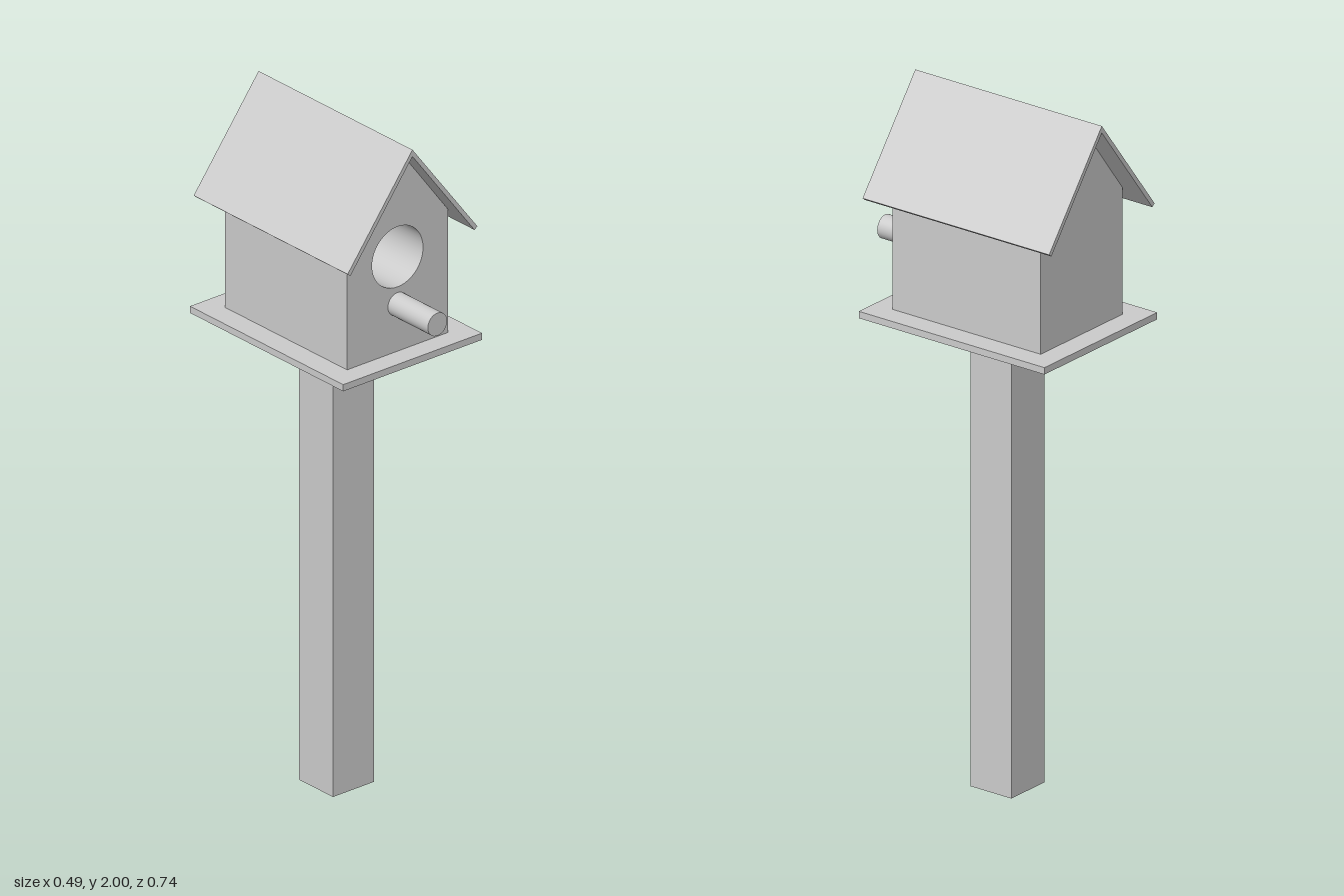
import * as THREE from 'three';
import { toCreasedNormals } from 'three/addons/utils/BufferGeometryUtils.js';

const material = new THREE.MeshStandardMaterial({ color: 0xcccccc });

function add(parent, name, geometry, x = 0, y = 0, z = 0) {
  const mesh = new THREE.Mesh(geometry, material);
  mesh.name = name;
  mesh.position.set(x, y, z);
  parent.add(mesh);
  return mesh;
}

const outline = (points) => new THREE.Shape(points.map(([x, y]) => new THREE.Vector2(x, y)));

// Prism along z with smooth round holes and sharp corners
function prism(shape, depth) {
  const geometry = new THREE.ExtrudeGeometry(shape, { depth, bevelEnabled: false, curveSegments: 24 });
  return toCreasedNormals(geometry, 0.5);
}

export function createModel() {
  const model = new THREE.Group();
  model.name = 'birdhouse';

  // Post and floor board
  add(model, 'post', new THREE.BoxGeometry(0.144, 1.356, 0.14), 0, 0.678, -0.048);
  add(model, 'floorBoard', new THREE.BoxGeometry(0.49, 0.02, 0.635), 0, 1.366, -0.05);

  // Gabled house: solid rear, front bored with the entrance hole
  const gable = [[-0.178, 1.376], [0.178, 1.376], [0.178, 1.744], [0, 1.98], [-0.178, 1.744]];
  const house = new THREE.Group();
  house.name = 'house';
  model.add(house);
  const front = outline(gable);
  front.holes.push(new THREE.Path().absarc(0, 1.658, 0.09, 0, Math.PI * 2, true));
  add(house, 'houseFront', prism(front, 0.355), 0, 0, -0.15);
  add(house, 'houseRear', prism(outline(gable), 0.152), 0, 0, -0.302);

  // Thin folded roof with square-cut eaves
  const roof = outline([
    [0, 2], [-0.229, 1.7], [-0.219, 1.692], [0, 1.98], [0.219, 1.692], [0.229, 1.7],
  ]);
  add(model, 'roof', prism(roof, 0.638), 0, 0, -0.371);

  // Perch below the entrance
  const perch = add(model, 'perch', new THREE.CylinderGeometry(0.034, 0.034, 0.175, 32), 0, 1.517, 0.283);
  perch.rotation.x = Math.PI / 2;

  return model;
}
